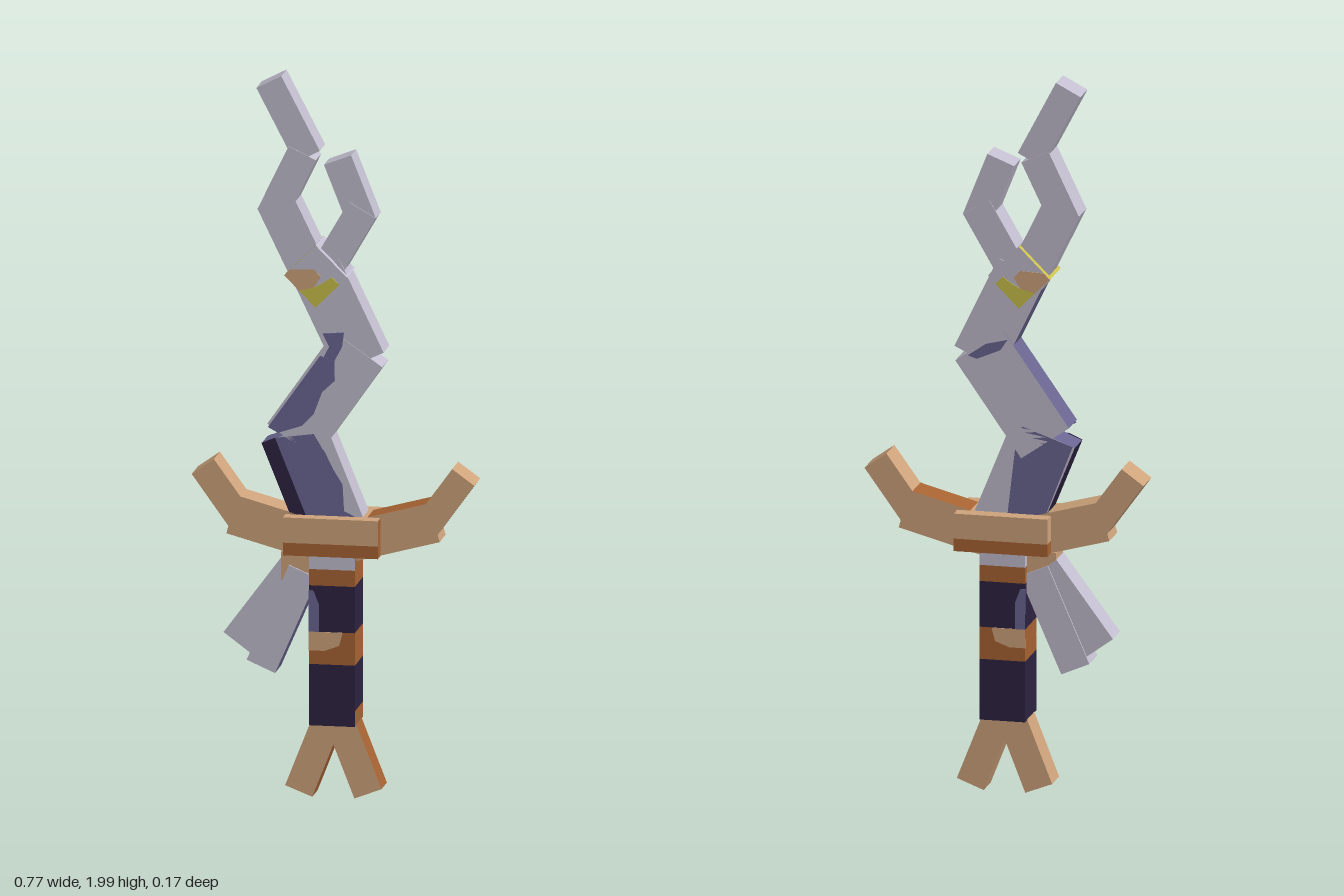
import * as THREE from 'three';

export function createModel() {
  const root = new THREE.Group();
  root.name = 'twistedSword';
  const mat = (name, color) => {
    const m = new THREE.MeshStandardMaterial({ color });
    m.name = name;
    return m;
  };
  const steel = mat('paleSteel', 0xc3bfd0);
  const violet = mat('violetStain', 0x6a6692);
  const dark = mat('darkGrip', 0x2d2240);
  const tan = mat('tanWood', 0xcfa47c);
  const rust = mat('rustWood', 0xa86433);
  const gold = mat('yellowGem', 0xcbc24a);

  // Upright block between two heights
  function block(name, x0, x1, y0, y1, depth, mats) {
    const m = new THREE.Mesh(new THREE.BoxGeometry(x1 - x0, y1 - y0, depth), mats);
    m.position.set((x0 + x1) / 2, (y0 + y1) / 2, 0);
    m.name = name;
    root.add(m);
  }

  // Tilted bar running from a to b (material order: right, left, tip, base, front, back)
  function bar(name, a, b, width, depth, mats) {
    const dx = b[0] - a[0], dy = b[1] - a[1];
    const m = new THREE.Mesh(new THREE.BoxGeometry(width, Math.hypot(dx, dy), depth), mats);
    m.position.set((a[0] + b[0]) / 2, (a[1] + b[1]) / 2, 0);
    m.rotation.z = Math.atan2(-dx, dy);
    m.name = name;
    root.add(m);
  }

  // Thin painted plate lying on a front (z > 0) or back (z < 0) face
  function patch(name, pts, z, material) {
    const shape = new THREE.Shape(pts.map(([x, y]) => new THREE.Vector2(x, y)));
    const g = new THREE.ExtrudeGeometry(shape, { depth: 0.004, bevelEnabled: false });
    const m = new THREE.Mesh(g, material);
    m.position.z = z - 0.002;
    m.name = name;
    root.add(m);
  }

  // Grip built as stacked bands: bottom, top, main colour, colour of the left side
  [
    [0.207, 0.25, dark, rust],
    [0.25, 0.377, dark, dark],
    [0.377, 0.467, rust, rust],
    [0.467, 0.595, dark, dark],
    [0.595, 0.64, rust, rust],
    [0.64, 0.69, steel, rust],
  ].forEach(([y0, y1, c, side]) =>
    block('gripBand', -0.063, 0.063, y0, y1, 0.126, [side, c, c, c, c, c]));
  for (const z of [0.063, -0.063]) {
    patch('gripTanMark', [[-0.063, 0.415], [-0.02, 0.415], [0.02, 0.43], [0.03, 0.467], [-0.063, 0.467]], z, tan);
    patch('gripVioletMark', [[-0.063, 0.467], [-0.035, 0.467], [-0.035, 0.54], [-0.05, 0.58], [-0.063, 0.58]], z, violet);
  }

  // Pommel prongs and guard wings, mirrored
  for (const s of [1, -1]) {
    bar('pommelProng', [s * 0.095, 0.018], [s * 0.01, 0.235], 0.08, 0.08, [rust, tan, tan, tan, tan, tan]);
    const wing = s > 0 ? [rust, rust, tan, tan, tan, tan] : [tan, rust, tan, tan, tan, tan];
    bar('guardWing', [s * 0.05, 0.716], [s * 0.278, 0.778], 0.11, 0.09, wing);
    bar('guardWingTip', [s * 0.249, 0.757], [s * 0.357, 0.907], 0.075, 0.09, tan);
  }

  // Guard centre and small side knob
  block('guardUpper', -0.13, 0.13, 0.715, 0.785, 0.17, [rust, tan, tan, rust, tan, tan]);
  block('guardLower', -0.13, 0.13, 0.68, 0.715, 0.17, rust);
  block('sideKnob', -0.143, -0.063, 0.6, 0.68, 0.08, tan);

  // Tassel strips hanging beside the grip
  bar('tasselOuter', [-0.265, 0.423], [-0.108, 0.635], 0.09, 0.08, steel);
  bar('tasselInner', [-0.198, 0.36], [-0.082, 0.627], 0.085, 0.09, [violet, steel, steel, violet, steel, steel]);

  // Zigzag blade
  bar('bladeLower', [0, 0.74], [-0.11, 1.013], 0.185, 0.086, [steel, dark, violet, steel, steel, steel]);
  bar('bladeMiddle', [-0.114, 0.987], [0.069, 1.249], 0.162, 0.09, [steel, violet, steel, steel, steel, steel]);
  bar('bladeUpper', [0.074, 1.212], [-0.048, 1.466], 0.143, 0.086, [steel, violet, steel, steel, steel, steel]);

  // Forked tip
  bar('longProngBase', [-0.058, 1.439], [-0.161, 1.651], 0.105, 0.084, steel);
  bar('longProngMiddle', [-0.169, 1.611], [-0.085, 1.786], 0.083, 0.085, steel);
  bar('longProngTip', [-0.071, 1.776], [-0.177, 1.979], 0.077, 0.08, steel);
  bar('shortProngBase', [-0.016, 1.471], [0.079, 1.635], 0.085, 0.08, steel);
  bar('shortProngTip', [0.079, 1.598], [0.011, 1.77], 0.08, 0.075, steel);

  // Stains on the blade
  patch('lowerDarkEdge', [[-0.196, 0.979], [-0.159, 0.995], [-0.075, 0.785], [-0.118, 0.785]], 0.043, dark);
  patch('lowerStain', [[-0.159, 0.995], [-0.053, 1.01], [-0.021, 0.958], [0, 0.915], [0.026, 0.873],
    [0.03, 0.8], [0.06, 0.785], [-0.075, 0.785]], 0.043, violet);
  patch('lowerBackStain', [[-0.19, 0.981], [-0.05, 1.03], [-0.03, 0.96], [-0.01, 0.785], [-0.115, 0.785]], -0.043, violet);
  patch('middleStain', [[-0.178, 1.025], [-0.035, 1.228], [0.004, 1.215], [0.005, 1.16], [-0.03, 1.127],
    [-0.053, 1.065], [-0.085, 1.032], [-0.15, 1.01]], 0.046, violet);
  patch('upperStain', [[-0.028, 1.29], [0.03, 1.295], [0.025, 1.255], [0.004, 1.215], [-0.025, 1.225], [-0.01, 1.255]], 0.046, violet);
  patch('upperBackStain', [[-0.01, 1.27], [0.05, 1.255], [0.1, 1.22], [0.075, 1.212], [0.01, 1.24]], -0.046, violet);

  // Diamond gem collar
  const gem = new THREE.Mesh(new THREE.BoxGeometry(0.122, 0.122, 0.12), [steel, gold, gold, gold, steel, steel]);
  gem.position.set(-0.045, 1.45, 0);
  gem.rotation.z = Math.PI / 4;
  gem.name = 'gemCollar';
  root.add(gem);
  for (const z of [0.06, -0.06]) {
    patch('gemTanMark', [[-0.131, 1.45], [-0.115, 1.467], [-0.05, 1.47], [-0.03, 1.45], [-0.05, 1.42], [-0.09, 1.41]], z, tan);
    patch('gemYellowMark', [[-0.045, 1.364], [-0.09, 1.41], [-0.05, 1.42], [-0.03, 1.43], [0, 1.45], [0.02, 1.43]], z, gold);
  }
  return root;
}
